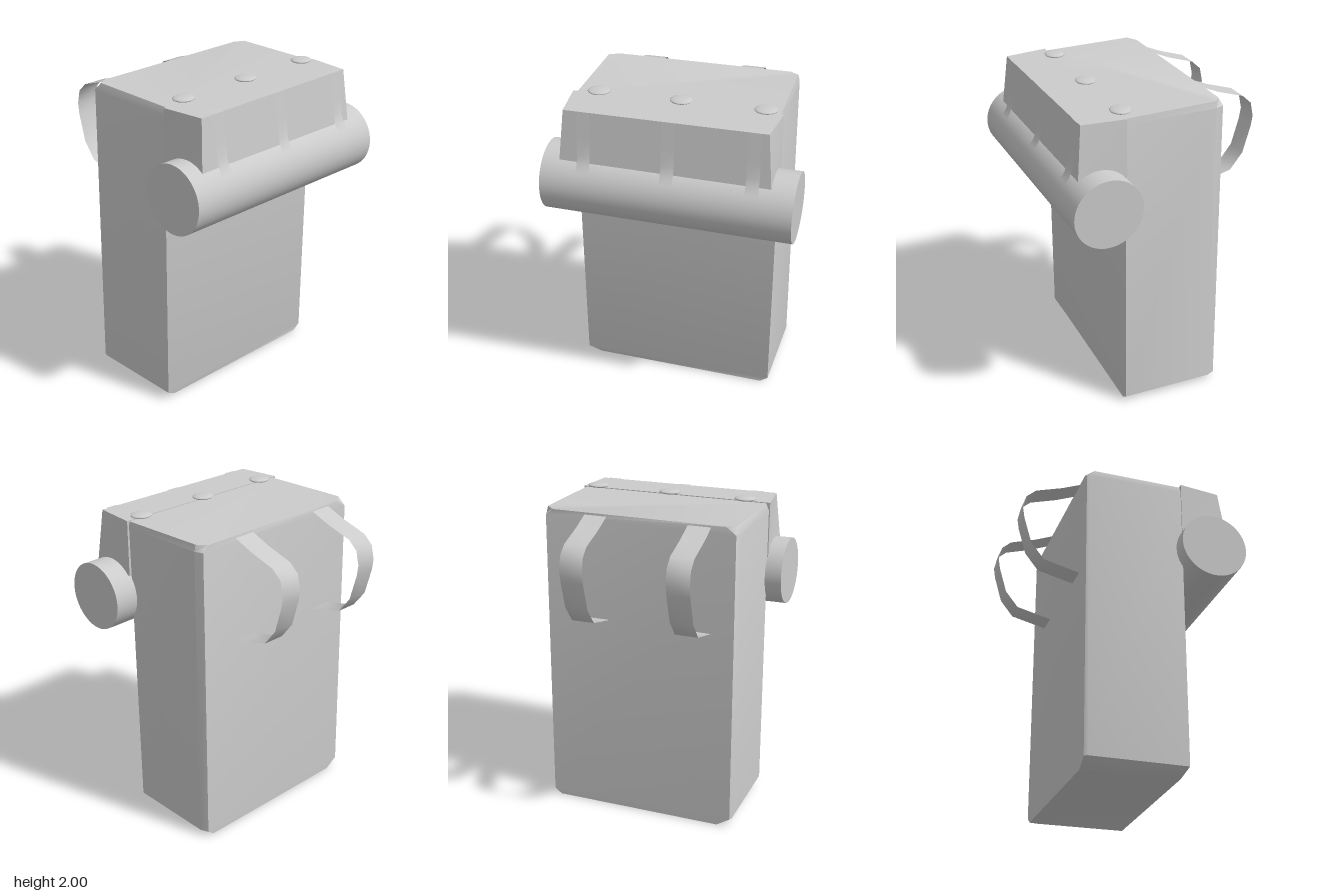
import * as THREE from 'three';
import { toCreasedNormals } from 'three/addons/utils/BufferGeometryUtils.js';

const grey = new THREE.MeshStandardMaterial({ color: 0xcccccc });
const thin = new THREE.MeshStandardMaterial({ color: 0xcccccc, side: THREE.DoubleSide });

// Skins a stack of rings (counterclockwise seen from above, bottom to top) and caps both ends.
function loft(rings, crease) {
  const n = rings[0].length, index = [], last = (rings.length - 1) * n;
  for (let r = 0; r < last; r += n) {
    for (let i = 0; i < n; i++) {
      const a = r + i, b = r + (i + 1) % n;
      index.push(a, b, b + n, a, b + n, a + n);
    }
  }
  for (let i = 1; i < n - 1; i++) {
    index.push(0, i + 1, i, last, last + i, last + i + 1);
  }
  const geo = new THREE.BufferGeometry();
  geo.setAttribute('position', new THREE.Float32BufferAttribute(rings.flat(2), 3));
  geo.setIndex(index);
  return toCreasedNormals(geo.toNonIndexed(), crease);
}

// Flat band following [x, y] points; zShift moves the far end sideways.
function ribbon(path, width, zShift = 0) {
  const pos = [], index = [];
  path.forEach(([x, y], i) => {
    const z = zShift * i / (path.length - 1);
    pos.push(x, y, z - width / 2, x, y, z + width / 2);
    if (i) index.push(2 * i - 2, 2 * i - 1, 2 * i + 1, 2 * i - 2, 2 * i + 1, 2 * i);
  });
  const geo = new THREE.BufferGeometry();
  geo.setAttribute('position', new THREE.Float32BufferAttribute(pos, 3));
  geo.setIndex(index);
  return toCreasedNormals(geo.toNonIndexed(), 0.7);
}

export function createModel() {
  const model = new THREE.Group();
  const add = (name, geo, material = grey) => {
    const mesh = new THREE.Mesh(geo, material);
    mesh.name = name;
    model.add(mesh);
    return mesh;
  };

  // Main bag with bevelled base and top
  add('body', loft([
    [[0.27, 0.005, 0.58], [0.3, 0.005, -0.54], [-0.28, 0.005, -0.55],
      [-0.33, 0.005, -0.54], [-0.33, 0.005, 0.56], [-0.29, 0.005, 0.58]],
    [[0.3, 0.06, 0.655], [0.3, 0.04, -0.59], [-0.28, 0.04, -0.605],
      [-0.332, 0.04, -0.585], [-0.332, 0.06, 0.645], [-0.31, 0.06, 0.655]],
    [[0.303, 1.92, 0.648], [0.303, 1.93, -0.605], [-0.27, 1.93, -0.605],
      [-0.322, 1.93, -0.585], [-0.322, 1.92, 0.635], [-0.305, 1.92, 0.648]],
    [[0.303, 1.965, 0.63], [0.303, 1.965, -0.6], [-0.27, 1.97, -0.595],
      [-0.315, 1.965, -0.54], [-0.315, 1.965, 0.57], [-0.27, 1.97, 0.63]],
  ], 0.75));

  // Tapered flap hanging over the roll
  add('flap', loft([
    [[0.605, 1.66, 0.648], [0.605, 1.64, -0.618], [0.303, 1.62, -0.618], [0.303, 1.62, 0.655]],
    [[0.572, 1.97, 0.62], [0.572, 1.97, -0.59], [0.303, 1.97, -0.618], [0.303, 1.97, 0.655]],
  ], 0.3));

  // Bedroll, very slightly tilted
  const roll = add('bedroll', new THREE.CylinderGeometry(0.213, 0.213, 1.51, 48));
  roll.rotation.x = Math.PI / 2 - 0.013;
  roll.position.set(0.475, 1.484, 0);

  // Flap straps with a button at the top of each
  const flapPath = [[0.52, 1.974], [0.576, 1.972], [0.596, 1.82], [0.609, 1.7], [0.628, 1.65], [0.657, 1.61]];
  for (const z of [0.495, -0.01, -0.512]) {
    add('flapStrap', ribbon(flapPath, 0.078), thin).position.z = z;
    const button = add('button', new THREE.SphereGeometry(1, 28, 12));
    button.scale.set(0.062, 0.014, 0.068);
    button.position.set(0.297, 1.986, z);
  }

  // Shoulder straps
  const shoulderPath = [[-0.31, 1.955], [-0.44, 1.9], [-0.61, 1.845], [-0.67, 1.79], [-0.69, 1.7],
    [-0.68, 1.63], [-0.632, 1.46], [-0.55, 1.355], [-0.31, 1.295]];
  for (const z of [-0.255, 0.408]) {
    add('shoulderStrap', ribbon(shoulderPath, 0.145, 0.014), thin).position.z = z;
  }
  return model;
}
